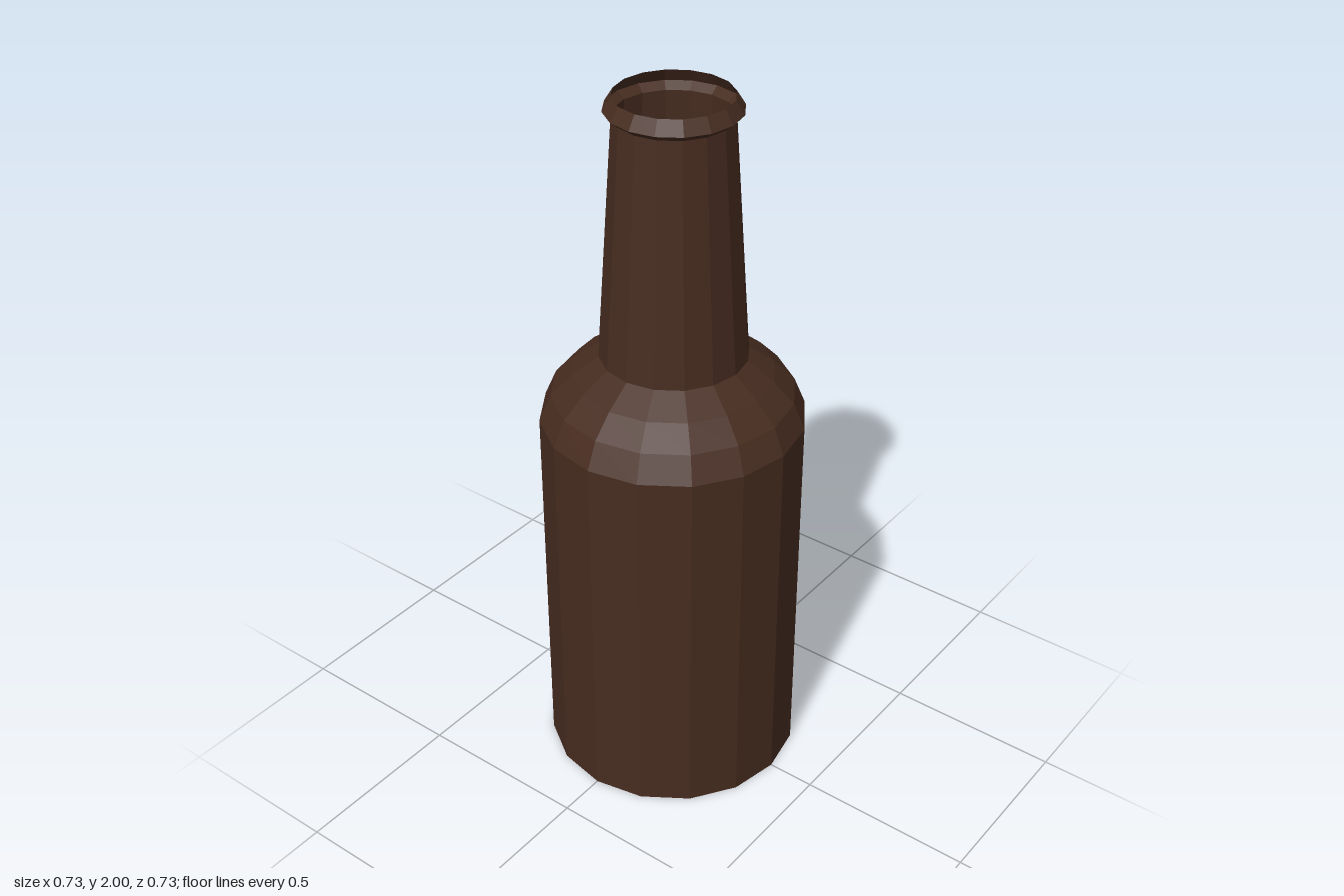
import * as THREE from 'three';

const SIDES = 16;

// Sideways lean of the bottle's axis at height y: straight body, off-centre neck
function lean(y) {
  const shoulder = THREE.MathUtils.clamp((y - 1.095) / 0.175, 0, 1);
  const neck = THREE.MathUtils.clamp((y - 1.27) / 0.73, 0, 1);
  return [-0.0125 * shoulder - 0.003 * neck, -0.02 * shoulder - 0.004 * neck];
}

export function createModel() {
  const group = new THREE.Group();
  group.name = 'bottle';
  const glass = new THREE.MeshStandardMaterial({
    color: 0x472c20, flatShading: true, side: THREE.DoubleSide,
  });

  // Revolve a [radius, y] profile, then shift each ring along the leaning axis
  function ringPart(name, profile) {
    const points = profile.map(([r, y]) => new THREE.Vector2(r, y));
    const geometry = new THREE.LatheGeometry(points, SIDES);
    const pos = geometry.attributes.position;
    for (let i = 0; i < pos.count; i++) {
      const [dx, dz] = lean(pos.getY(i));
      pos.setX(i, pos.getX(i) + dx);
      pos.setZ(i, pos.getZ(i) + dz);
    }
    geometry.computeVertexNormals();
    const mesh = new THREE.Mesh(geometry, glass);
    mesh.name = name;
    group.add(mesh);
  }

  ringPart('body', [[0.363, 0], [0.363, 1.095]]);
  ringPart('shoulder', [[0.363, 1.095], [0.332, 1.165], [0.275, 1.22], [0.203, 1.27]]);
  ringPart('neck', [[0.203, 1.27], [0.158, 1.945]]);
  // Open mouth with a flared rim
  ringPart('lip', [[0.158, 1.945], [0.18, 1.963], [0.157, 2]]);

  // Slightly recessed floor
  const floor = new THREE.Mesh(new THREE.CircleGeometry(0.363, SIDES), glass);
  floor.name = 'floor';
  floor.rotation.x = Math.PI / 2;
  floor.position.y = 0.008;
  group.add(floor);

  return group;
}
